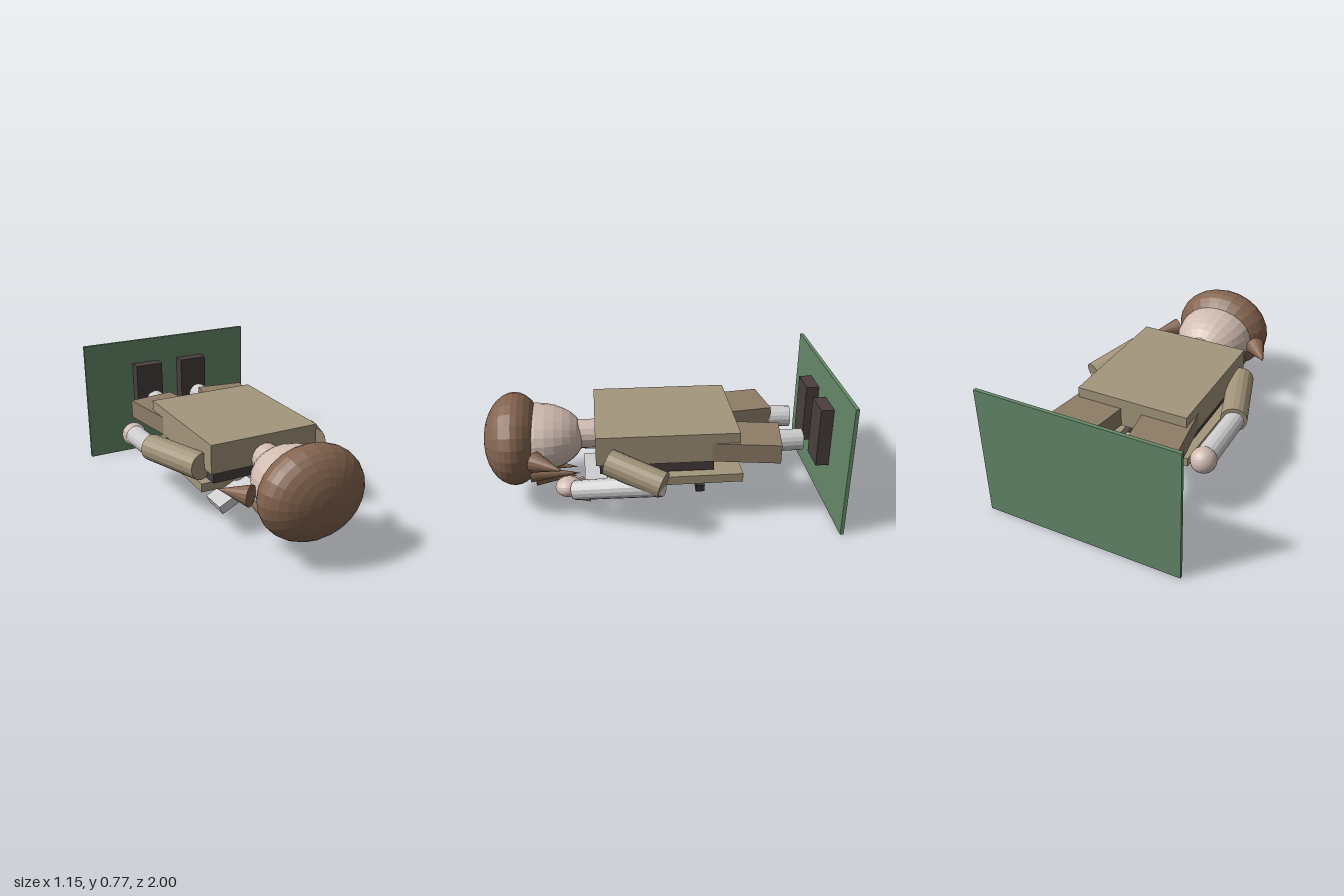
import * as THREE from 'three';

const mat = (color) => new THREE.MeshStandardMaterial({ color, flatShading: true });
const grey = mat(0xcccccc), skin = mat(0xd0bbb0), hair = mat(0x83634e), coat = mat(0xa4967c);
const sleeveMat = mat(0xa2937a), trousers = mat(0x8f7c67), dark = mat(0x483f3e);
const green = mat(0x66896a), gold = mat(0xb09a55);
const UP = new THREE.Vector3(0, 1, 0);

export function createModel() {
  const model = new THREE.Group();

  const add = (name, geometry, material, position) => {
    const mesh = new THREE.Mesh(geometry, material);
    mesh.name = name;
    mesh.position.set(...position);
    model.add(mesh);
    return mesh;
  };
  const box = (name, size, position, material) =>
    add(name, new THREE.BoxGeometry(...size), material, position);
  // Cylinder or cone running from point a to point b
  const rod = (name, a, b, r0, r1, material, sides = 16) => {
    const start = new THREE.Vector3(...a), end = new THREE.Vector3(...b);
    const dir = end.clone().sub(start);
    const mid = start.add(end).multiplyScalar(0.5);
    const geometry = new THREE.CylinderGeometry(r1, r0, dir.length(), sides);
    const mesh = add(name, geometry, material, mid.toArray());
    mesh.quaternion.setFromUnitVectors(UP, dir.normalize());
    return mesh;
  };
  // Ellipsoid with its poles along z
  const ball = (name, radii, position, material) => {
    const geometry = new THREE.SphereGeometry(1, 24, 16).rotateX(Math.PI / 2).scale(...radii);
    return add(name, geometry, material, position);
  };

  // Upright ground plate behind the soles
  box('groundPlate', [1.15, 0.77, 0.02], [0, 0.385, -0.99], green);

  // Body, lying face down with the head towards +z
  box('torso', [0.665, 0.17, 0.8], [0, 0.45, -0.04], coat);
  box('vest', [0.62, 0.07, 0.64], [0, 0.335, 0.02], dark);
  box('shirtFront', [0.34, 0.02, 0.62], [0, 0.291, 0.02], grey);
  rod('neck', [0, 0.4, 0.3], [0, 0.4, 0.52], 0.085, 0.085, skin);

  for (const s of [-1, 1]) {
    // Shoes, legs and splayed trouser legs
    box('shoe', [0.18, 0.35, 0.075], [s * 0.16, 0.438, -0.942], dark);
    rod('leg', [s * 0.155, 0.39, -0.83], [s * 0.19, 0.39, -0.3], 0.063, 0.063, grey);
    const leg = box('trouserLeg', [0.288, 0.11, 0.4], [s * 0.216, 0.42, -0.485], trousers);
    leg.rotation.y = -s * 0.145;

    // Open coat front and collar flap
    const panel = box('coatPanel', [0.265, 0.05, 0.76], [s * 0.225, 0.265, -0.08], coat);
    panel.rotation.y = s * 0.012;
    const lapel = box('lapel', [0.24, 0.05, 0.16], [s * 0.2, s < 0 ? 0.225 : 0.25, 0.345], grey);
    lapel.rotation.z = -s * 0.45;

    // Pointed side locks and fringe
    rod('sideLock', [s * 0.28, 0.377, 0.7], [s * 0.393, 0.377, 0.545], 0.06, 0, hair);
    rod('outerFringe', [s * 0.16, 0.235, 0.73], [s * 0.19, 0.245, 0.45], 0.05, 0, hair);
    rod('innerFringe', [s * 0.09, 0.165, 0.71], [s * 0.05, 0.15, 0.47], 0.045, 0, hair);
    ball('eye', [0.03, 0.02, 0.04], [s * 0.08, 0.21, 0.63], dark);
  }

  // Button and slanted belt strap under the coat
  add('button', new THREE.SphereGeometry(0.045, 16, 8).scale(1, 0.25, 1), gold, [0.2, 0.227, -0.3]);
  const strap = box('strap', [0.48, 0.05, 0.05], [0.05, 0.215, -0.23], dark);
  strap.rotation.z = -0.21;

  // Head and cap of hair
  ball('head', [0.24, 0.19, 0.28], [0, 0.39, 0.7], skin);
  ball('hairCap', [0.306, 0.262, 0.175], [0, 0.387, 0.825], hair);

  // Arm held down along the body
  rod('rightSleeve', [-0.35, 0.385, 0.28], [-0.475, 0.373, -0.127], 0.077, 0.077, sleeveMat);
  rod('rightForearm', [-0.475, 0.37, -0.11], [-0.453, 0.33, -0.43], 0.058, 0.062, grey);
  ball('rightHand', [0.073, 0.073, 0.073], [-0.45, 0.325, -0.47], skin);

  // Arm bent up towards the face
  rod('leftSleeve', [0.36, 0.404, 0.29], [0.508, 0.33, 0.002], 0.074, 0.074, sleeveMat);
  rod('leftForearm', [0.503, 0.325, 0.012], [0.28, 0.185, 0.48], 0.06, 0.056, grey);
  ball('leftHand', [0.076, 0.055, 0.075], [0.225, 0.18, 0.52], skin);
  for (let i = 0; i < 4; i++) {
    const x = 0.145 + i * 0.034;
    rod('finger', [x + 0.015, 0.135, 0.5], [x - 0.012, 0.092, 0.4], 0.013, 0.013, skin, 8);
  }
  rod('thumb', [0.2, 0.18, 0.5], [0.13, 0.17, 0.44], 0.015, 0.015, skin, 8);

  return model;
}
